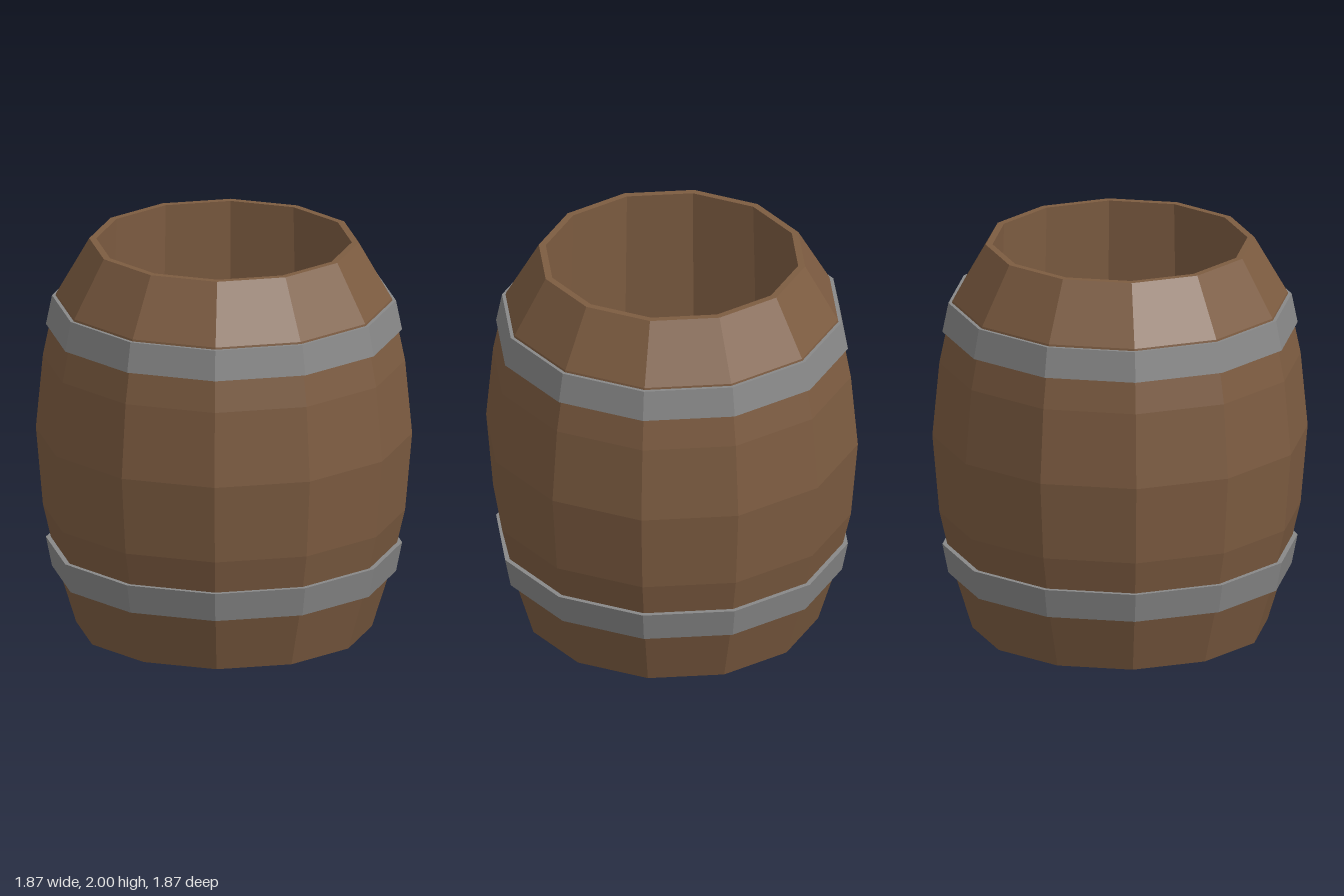
import * as THREE from 'three';

const SIDES = 12;

export function createModel() {
  const group = new THREE.Group();
  const wood = new THREE.MeshStandardMaterial({ name: 'brownWood', color: 0x7d5c41, flatShading: true });
  const iron = new THREE.MeshStandardMaterial({ name: 'greyIron', color: 0x888888, flatShading: true });

  const add = (name, geometry, material) => {
    const mesh = new THREE.Mesh(geometry, material);
    mesh.name = name;
    group.add(mesh);
    return mesh;
  };
  // Faceted ring from a closed [radius, height] profile, outer side listed bottom to top
  const ring = (profile) => new THREE.LatheGeometry(
    [...profile, profile[0]].map(([r, y]) => new THREE.Vector2(r, y)), SIDES);

  // Bulging outer wall, thin rims and straight inner wall
  add('staves', ring([
    [0.735, 0], [0.825, 0.29], [0.9, 0.61], [0.935, 1.01], [0.9, 1.39], [0.835, 1.71], [0.67, 2],
    [0.635, 2], [0.695, 0],
  ]), wood);

  // Floor, recessed above the bottom rim
  add('floor', new THREE.CylinderGeometry(0.693, 0.693, 0.02, SIDES), wood).position.y = 0.1;

  // Hoops, each narrowing away from the middle of the barrel
  add('lowerHoop', ring([[0.855, 0.29], [0.885, 0.44], [0.85, 0.44], [0.815, 0.29]]), iron);
  add('upperHoop', ring([[0.885, 1.55], [0.855, 1.7], [0.83, 1.7], [0.86, 1.55]]), iron);

  return group;
}
